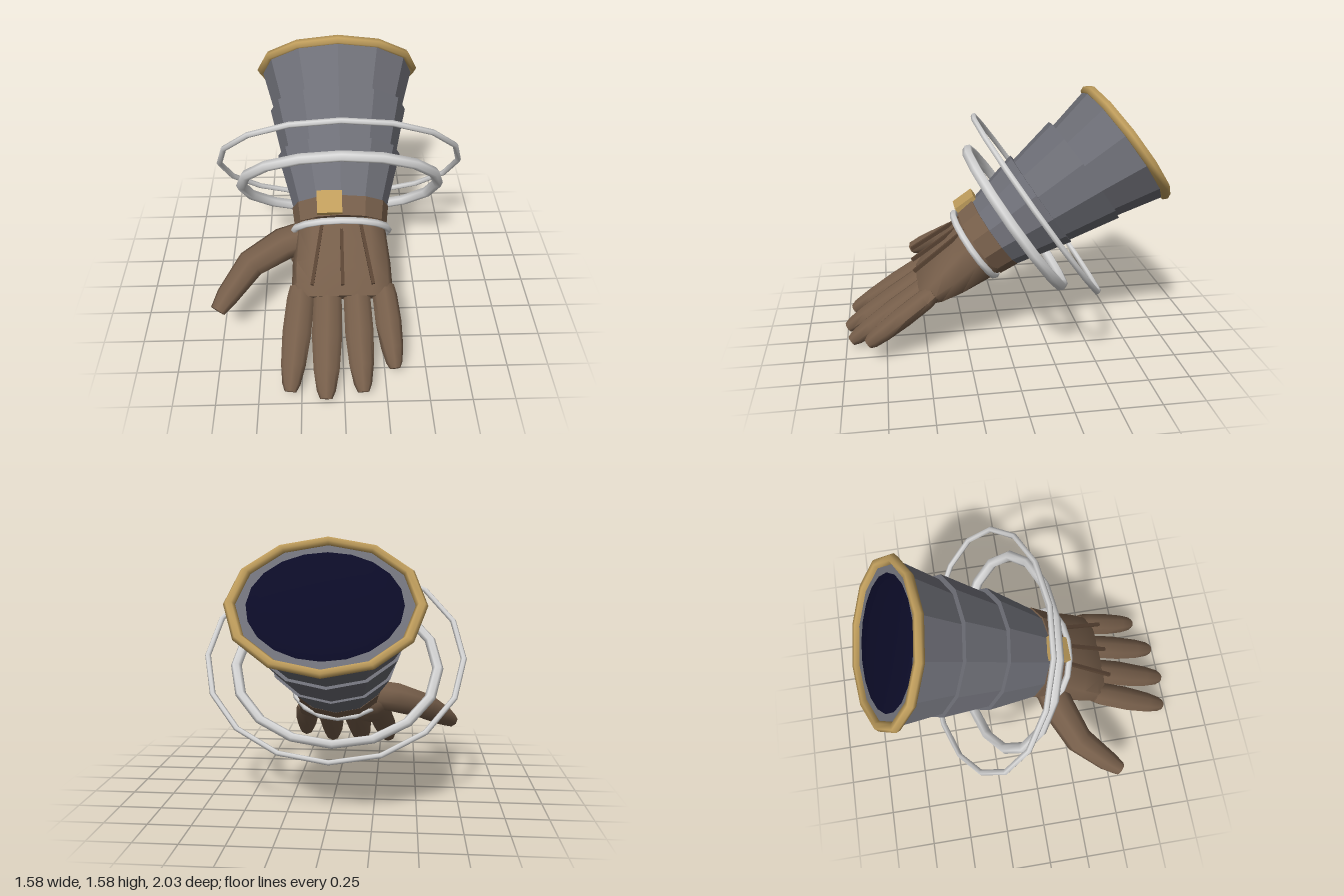
import * as THREE from 'three';
import { toCreasedNormals } from 'three/addons/utils/BufferGeometryUtils.js';

const paint = (name, color) => {
  const m = new THREE.MeshStandardMaterial({ color });
  m.name = name;
  return m;
};

// Loft of oval rings along a path in the xy plane; a section is [x, y, z, halfWidth, halfDepth]
function loft(sections, sides = 8, power = 1, crease = 0.9) {
  const pos = [], idx = [], n = sections.length;
  const bend = (v) => Math.sign(v) * Math.abs(v) ** power;
  sections.forEach(([x, y, z, a, b], i) => {
    const p = sections[Math.max(i - 1, 0)], q = sections[Math.min(i + 1, n - 1)];
    const t = new THREE.Vector2(q[0] - p[0], q[1] - p[1]).normalize();
    for (let j = 0; j < sides; j++) {
      const th = (j / sides) * Math.PI * 2;
      const u = a * bend(Math.cos(th));
      pos.push(x - t.y * u, y + t.x * u, z + b * bend(Math.sin(th)));
    }
  });
  for (let i = 0; i < n - 1; i++) {
    for (let j = 0; j < sides; j++) {
      const k = (j + 1) % sides, a = i * sides + j, b = i * sides + k;
      idx.push(a, b, a + sides, b, b + sides, a + sides);
    }
  }
  const first = n * sides;
  pos.push(...sections[0].slice(0, 3), ...sections[n - 1].slice(0, 3));
  for (let j = 0; j < sides; j++) {
    const k = (j + 1) % sides, end = (n - 1) * sides;
    idx.push(first, k, j, first + 1, end + j, end + k);
  }
  const g = new THREE.BufferGeometry();
  g.setAttribute('position', new THREE.Float32BufferAttribute(pos, 3));
  g.setIndex(idx);
  return toCreasedNormals(g, crease);
}

export function createModel() {
  const leather = paint('brown leather', 0x765e4a);
  const darkLeather = paint('dark leather', 0x574232);
  const steel = paint('grey steel', 0x6e6f77);
  const gold = paint('gold', 0xbf9d5c);
  const silver = paint('pale silver', 0xd6d6d6);
  const lining = paint('navy lining', 0x0b0b26);

  // Arm frame: +y runs up the forearm, +z is the back of the hand
  const arm = new THREE.Group();
  arm.name = 'gauntlet';
  arm.position.y = 0.704;
  arm.rotation.x = -0.96;

  const add = (name, geometry, material, x = 0, y = 0, z = 0) => {
    const mesh = new THREE.Mesh(geometry, material);
    mesh.name = name;
    mesh.position.set(x, y, z);
    arm.add(mesh);
    return mesh;
  };
  const band = (name, material, y0, y1, r0, r1, z, ratio) => {
    const g = new THREE.CylinderGeometry(r1, r0, y1 - y0, 12).scale(1, 1, ratio).toNonIndexed();
    g.computeVertexNormals();
    return add(name, g, material, 0, (y0 + y1) / 2, z);
  };
  const ring = (name, material, y, z, rx, rz, tube, segments) => {
    const g = new THREE.TorusGeometry(rx, tube, 6, segments).rotateX(Math.PI / 2).scale(1, 1, rz / rx);
    return add(name, g, material, 0, y, z);
  };

  // Flared sleeve of three overlapping plates
  band('lowerSleevePlate', steel, -0.05, 0.31, 0.29, 0.39, 0.02, 0.82);
  band('middleSleevePlate', steel, 0.29, 0.63, 0.36, 0.44, 0.01, 0.81);
  band('upperSleevePlate', steel, 0.61, 0.935, 0.41, 0.5, 0, 0.79);
  ring('sleeveRim', gold, 0.935, 0, 0.5, 0.39, 0.032, 12);
  add('sleeveLining', new THREE.SphereGeometry(1, 20, 10).scale(0.43, 0.04, 0.335), lining, 0, 0.925, 0);

  // Wrist band, clasp and floating hoops
  band('wristBand', leather, -0.16, -0.04, 0.285, 0.3, 0.025, 0.82);
  add('clasp', new THREE.BoxGeometry(0.15, 0.14, 0.045), gold, -0.07, -0.085, 0.268);
  ring('bracelet', silver, -0.193, 0.027, 0.295, 0.228, 0.022, 16);
  ring('innerHoop', silver, 0.113, 0.022, 0.622, 0.5, 0.034, 16);
  ring('outerHoop', silver, 0.268, 0.017, 0.765, 0.655, 0.018, 16);

  // Palm, thinning toward the knuckles
  add('palm', loft([
    [0, -0.1, 0.02, 0.27, 0.2],
    [0, -0.22, 0.015, 0.28, 0.18],
    [0, -0.4, 0.01, 0.3, 0.145],
    [0, -0.53, 0.015, 0.305, 0.1],
    [0, -0.61, 0.02, 0.28, 0.06],
  ], 12, 0.7), leather);

  // Fingers: [base x, tip x, tip y, width]
  [
    [-0.245, -0.315, -1.155, 0.086],
    [-0.088, -0.108, -1.2, 0.09],
    [0.085, 0.11, -1.165, 0.085],
    [0.25, 0.3, -1.035, 0.078],
  ].forEach(([x0, x1, y1, w], i) => {
    const profile = [[0, 0.82, 0.05], [0.12, 0.95, 0.064], [0.45, 1, 0.066], [0.75, 0.85, 0.06], [0.93, 0.62, 0.05], [1, 0.4, 0.034]];
    const sections = profile.map(([t, k, depth]) =>
      [x0 + (x1 - x0) * t, -0.54 + (y1 + 0.54) * t, 0.02, w * k, depth]);
    add(['indexFinger', 'middleFinger', 'ringFinger', 'littleFinger'][i], loft(sections), leather);
  });

  // Thumb and the pad at its root
  add('thumb', loft([
    [-0.18, -0.2, -0.02, 0.1, 0.1],
    [-0.36, -0.26, -0.02, 0.105, 0.1],
    [-0.56, -0.38, -0.03, 0.092, 0.085],
    [-0.7, -0.58, -0.025, 0.07, 0.065],
    [-0.755, -0.67, -0.02, 0.048, 0.045],
  ]), leather);
  add('thumbPad', new THREE.SphereGeometry(1, 12, 8).scale(0.12, 0.16, 0.1), leather, -0.2, -0.29, -0.07);

  // Three slim ribs fanning over the back of the hand
  for (const side of [-1, 0, 1]) {
    const rib = add('handRib', new THREE.BoxGeometry(0.02, 0.41, 0.022), darkLeather, side * 0.145, -0.36, 0.182);
    rib.rotation.z = side * 0.17;
  }

  const model = new THREE.Group();
  model.name = 'model';
  model.add(arm);
  return model;
}
